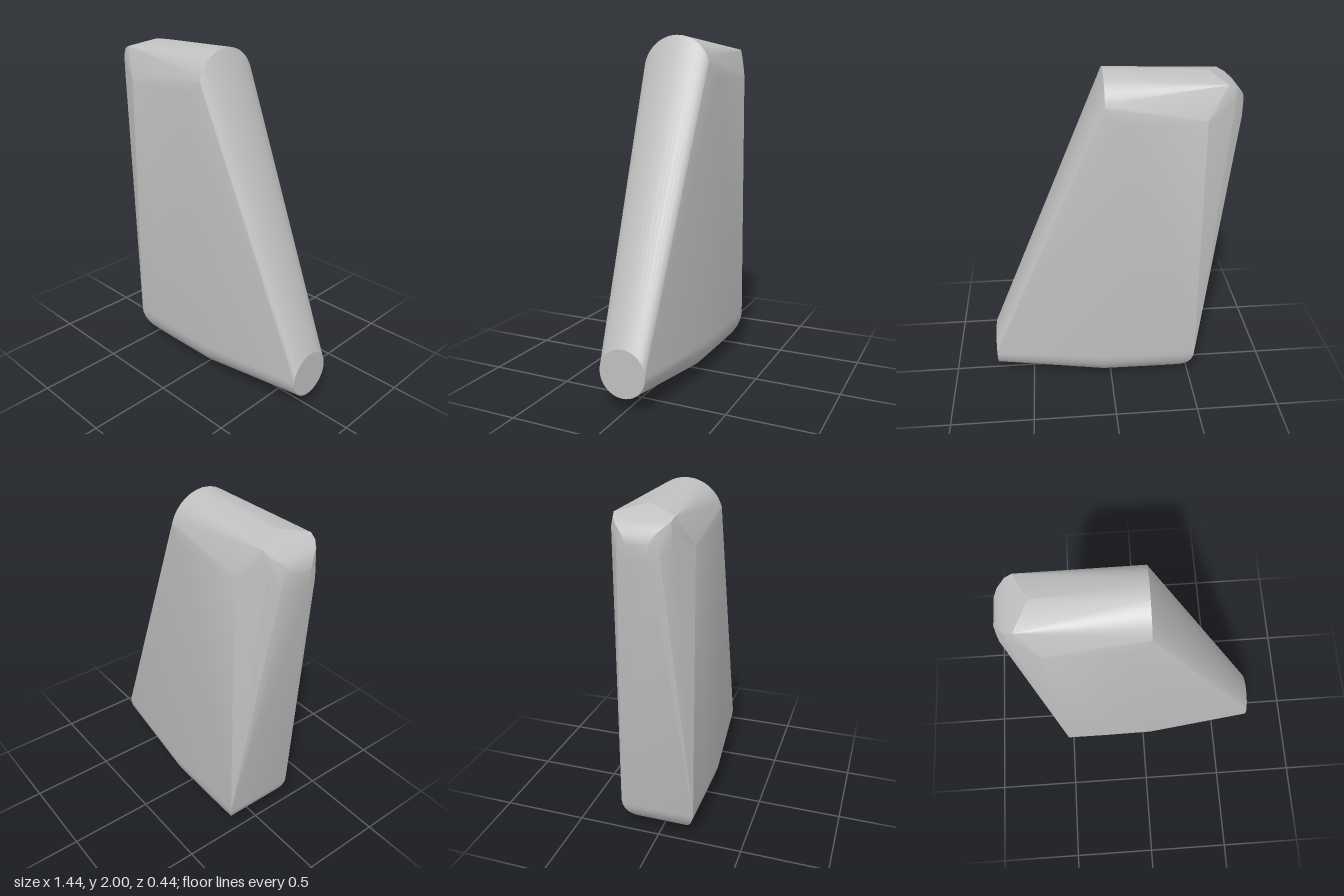
import * as THREE from 'three';
import { ConvexGeometry } from 'three/addons/geometries/ConvexGeometry.js';
import { toCreasedNormals } from 'three/addons/utils/BufferGeometryUtils.js';

export function createModel() {
  const group = new THREE.Group();
  const grey = new THREE.MeshStandardMaterial({ color: 0xc0c0c0 });
  grey.name = 'plain grey';

  const points = [];
  const add = (x, y, z) => points.push(new THREE.Vector3(x, y, z));
  const mirrored = (x, y, z) => { add(x, y, z); add(x, y, -z); };
  // Arc across the thickness, in a plane of constant x; angle 0 is +z, PI/2 is up
  const arc = (x, y, r, from, to, n) => {
    for (let i = 0; i <= n; i++) {
      const a = from + (to - from) * i / n;
      add(x, y + r * Math.sin(a), r * Math.cos(a));
    }
  };

  // Small round end of the foot
  arc(0.72, 0.223, 0.137, 0, Math.PI * 2 * 39 / 40, 39);
  // Rounded underside
  arc(-0.27, 0.22, 0.22, Math.PI, Math.PI * 2, 24);
  arc(0.05, 0.22, 0.217, Math.PI, Math.PI * 2, 24);
  // Rounded heel, curving up to the rear edge
  for (let i = 1; i <= 10; i++) {
    const t = i / 10 * Math.PI / 2;
    mirrored(-0.27 - 0.25 * Math.sin(t), 0.22 - 0.22 * Math.cos(t), 0.22 * Math.sin(t));
  }
  // Arched top of the sloping edge
  arc(0.04, 1.79, 0.21, 0.29, Math.PI - 0.29, 24);
  // Upper corners of the flat sides
  mirrored(-0.04, 1.77, 0.22);
  mirrored(-0.5, 1.77, 0.22);
  // Ridge end and rounded upper rear corner
  add(-0.53, 1.975, 0);
  [
    [-0.61, 1.94, 0.155], [-0.65, 1.92, 0.145], [-0.69, 1.89, 0.11], [-0.71, 1.86, 0.08],
    [-0.72, 1.82, 0.06], [-0.72, 1.73, 0.06], [-0.705, 1.75, 0.11], [-0.655, 1.78, 0.152],
    [-0.705, 1.82, 0.105], [-0.655, 1.88, 0.152],
  ].forEach(p => mirrored(...p));

  const body = new THREE.Mesh(toCreasedNormals(new ConvexGeometry(points), 0.35), grey);
  body.name = 'body';
  group.add(body);
  return group;
}
